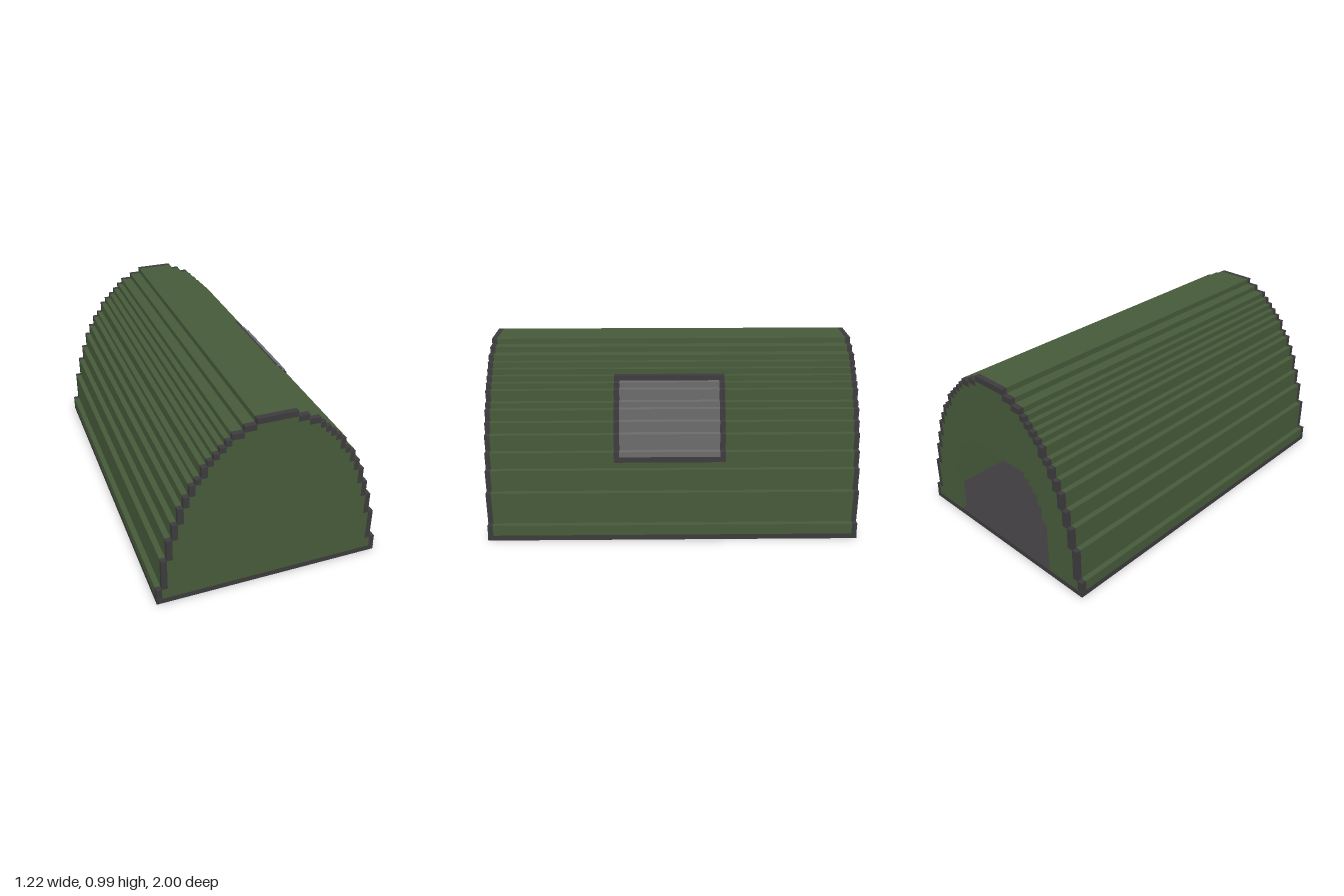
import * as THREE from 'three';

const U = 2 / 67; // one step of the blocky arch

// Arch tiers as [half width, top height], in steps
const OUTER = [[20.5, 3], [19.5, 9], [18.5, 13], [17.5, 16], [16.5, 19], [15.5, 21], [14.5, 23], [13.5, 24],
  [12.5, 26], [11.5, 27], [10.5, 28], [9.5, 29], [8.5, 30], [7.5, 31], [5.5, 32], [3.5, 33]];
const INNER = [...OUTER.slice(0, 13).map(([w, t]) => [w - 1, t]), [5.5, 31], [3.5, 32]];
const DOOR = [[12.5, 11], [11.5, 14], [10.5, 16], [9.5, 17], [8.5, 18], [7.5, 19]];

// Right half of a stepped outline between two heights
function rightSide(tiers, lo, hi) {
  const pts = [];
  let y = 0;
  for (const [w, top] of tiers) {
    if (top > lo && y < hi) pts.push([w * U, Math.max(y, lo) * U], [w * U, Math.min(top, hi) * U]);
    y = top;
  }
  return pts;
}

// Whole arch, from right foot over the top to left foot
function arch(tiers) {
  const right = rightSide(tiers, 1, 99);
  return [...right, ...right.map(([x, y]) => [-x, y]).reverse()];
}

// Stepped patch on the right flank, ending in the tread at its top
function patch(tiers, lo, hi, offset) {
  const pts = rightSide(tiers, lo, hi);
  const [x, y] = pts[pts.length - 1];
  pts.push([x - U, y]);
  return pts.map(([px, py]) => [px + offset, py + offset]);
}

// Sweeps an outline along z as flat quads
function sweep(pts, z0, z1) {
  const pos = [];
  for (let i = 0; i + 1 < pts.length; i++) {
    const a = pts[i], b = pts[i + 1];
    pos.push(...a, z0, ...b, z0, ...b, z1, ...a, z0, ...b, z1, ...a, z1);
  }
  const g = new THREE.BufferGeometry();
  g.setAttribute('position', new THREE.Float32BufferAttribute(pos, 3));
  g.computeVertexNormals();
  return g;
}

// Flat end wall, optionally notched by the doorway
function endWall(tiers, withDoor, z, facingBack) {
  const pts = arch(tiers);
  if (withDoor) pts.push(...arch(DOOR).reverse());
  const g = new THREE.ShapeGeometry(new THREE.Shape(pts.map(([x, y]) => new THREE.Vector2(x, y))));
  if (facingBack) g.rotateY(Math.PI); // outline is symmetric
  return g.translate(0, 0, z);
}

export function createModel() {
  const model = new THREE.Group();
  model.name = 'archedShelter';
  const material = (name, color) => {
    const m = new THREE.MeshStandardMaterial({ color });
    m.name = name;
    return m;
  };
  const green = material('olive green', 0x465a3a);
  const dark = material('dark grey', 0x3d3b3d);
  const grey = material('window grey', 0x6b6b6b);
  const add = (name, geometry, mat) => {
    const mesh = new THREE.Mesh(geometry, mat);
    mesh.name = name;
    model.add(mesh);
  };

  // Floor slab, its edge forming the dark base band
  add('floor', new THREE.BoxGeometry(41 * U, U, 2).translate(0, U / 2, 0), dark);

  // Roof skin, with dark trim at both ends, and the inner lining
  const end = 0.998, inside = 1 - U;
  const outline = arch(OUTER);
  add('roof', sweep(outline, -inside, inside), green);
  add('frontTrim', sweep(outline, inside, end), dark);
  add('backTrim', sweep(outline, -end, -inside), dark);
  add('roofLining', sweep(arch(INNER).reverse(), -inside, inside), green);

  // End walls: dark rim with a green panel just proud of it
  add('frontRim', endWall(OUTER, false, end, false), dark);
  add('frontPanel', endWall(INNER, false, 1, false), green);
  add('frontLining', endWall(INNER, false, inside, true), green);
  add('backRim', endWall(OUTER, true, -end, true), dark);
  add('backPanel', endWall(INNER, true, -1, true), green);
  add('backLining', endWall(INNER, true, -inside, false), green);
  add('doorJamb', sweep(arch(DOOR).reverse(), -1, -inside), green);

  // Window following the steps on one flank, outside and inside
  add('windowFrame', sweep(patch(OUTER, 14, 28, 0.003), -9.5 * U, 10.5 * U), dark);
  add('windowPane', sweep(patch(OUTER, 15, 27, 0.006), -8.5 * U, 9.5 * U), grey);
  add('windowPaneInside', sweep(patch(INNER, 15, 27, -0.003).reverse(), -8.5 * U, 9.5 * U), grey);

  return model;
}
